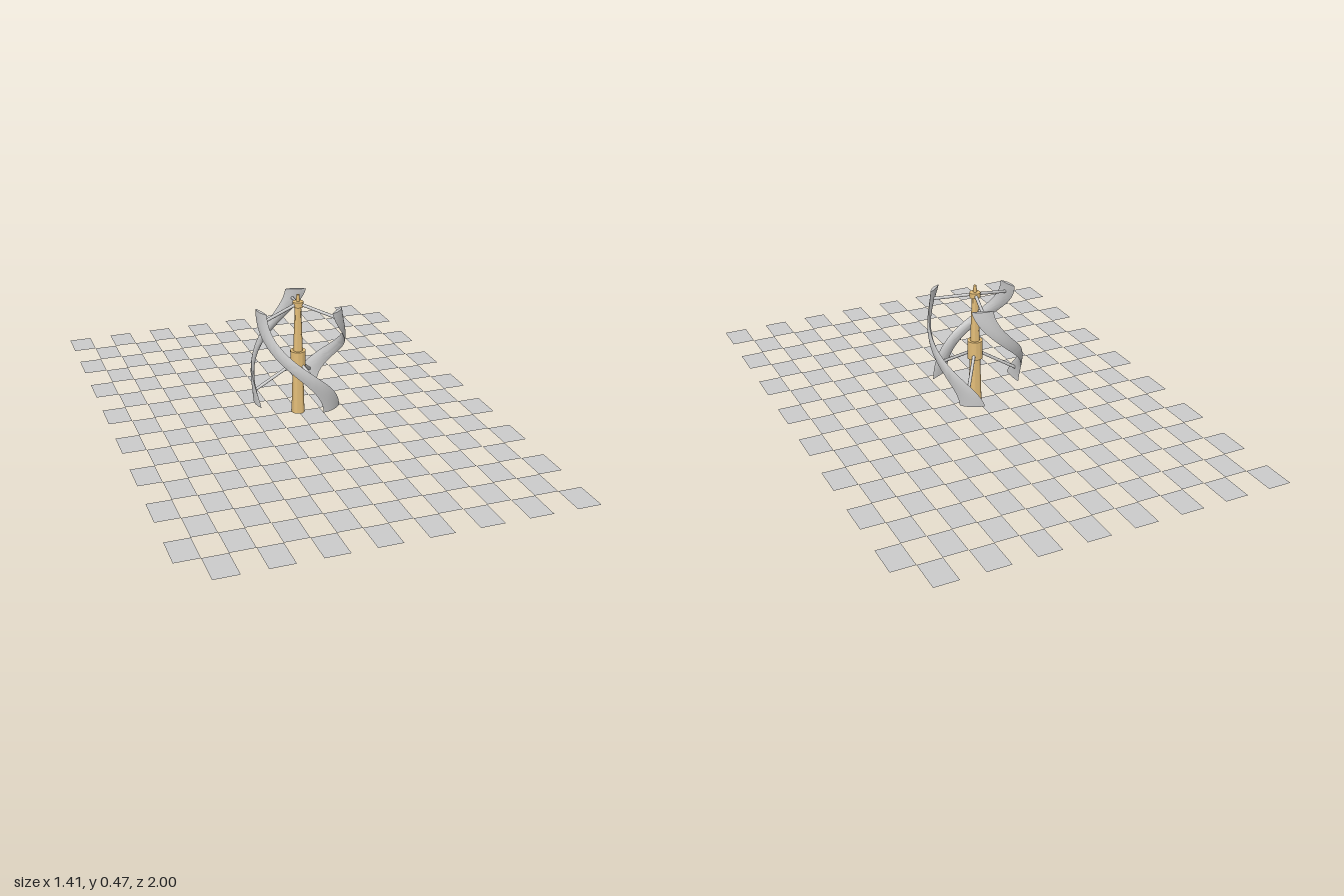
import * as THREE from 'three';
import { mergeGeometries, toCreasedNormals } from 'three/addons/utils/BufferGeometryUtils.js';

const rad = THREE.MathUtils.degToRad;
const Y0 = 0.06, Y1 = 0.44;

// Angle (from +z towards +x), radius and half span of a blade at t = 0..1 up its height
function bladeAt(t) {
  const s = 0.2 * t + 0.8 * t * t * (3 - 2 * t);
  const mid = Math.sin(Math.PI * t);
  return {
    angle: rad(31 - 107 * s),
    radius: 0.173 - 0.004 * t + 0.009 * mid,
    half: rad(16 - 2 * t - 4 * mid),
    y: Y0 + (Y1 - Y0) * t,
  };
}

const polar = (r, a, y) => new THREE.Vector3(r * Math.sin(a), y, r * Math.cos(a));

// Helical blade: lens-shaped horizontal sections joined up the height, with closed ends
function bladeGeometry() {
  const levels = 40, k = 8, n = 2 * k, pos = [], index = [];
  for (let i = 0; i <= levels; i++) {
    const { angle, radius, half, y } = bladeAt(i / levels);
    for (let j = 0; j < n; j++) {
      const outer = j <= k;
      const u = outer ? -1 + (2 * j) / k : 1 - (2 * (j - k)) / k;
      const r = radius - (outer ? 0 : 0.013 * (1 - u * u)) - 0.004 * u * u;
      pos.push(...polar(r, angle + u * half, y).toArray());
    }
  }
  for (let i = 0; i < levels; i++) {
    for (let j = 0; j < n; j++) {
      const a = i * n + j, b = i * n + ((j + 1) % n);
      index.push(a, b, b + n, a, b + n, a + n);
    }
  }
  const top = levels * n;
  for (let j = 1; j < n - 1; j++) {
    index.push(0, j + 1, j);
    index.push(top, top + j, top + j + 1);
  }
  const g = new THREE.BufferGeometry();
  g.setAttribute('position', new THREE.Float32BufferAttribute(pos, 3));
  g.setIndex(index);
  return toCreasedNormals(g, rad(40));
}

// Round bar between two points
function bar(name, from, to, r, material) {
  const dir = to.clone().sub(from);
  const mesh = new THREE.Mesh(new THREE.CylinderGeometry(r, r, dir.length(), 10), material);
  mesh.position.copy(from).add(to).multiplyScalar(0.5);
  mesh.quaternion.setFromUnitVectors(new THREE.Vector3(0, 1, 0), dir.normalize());
  mesh.name = name;
  return mesh;
}

export function createModel() {
  const group = new THREE.Group();
  group.name = 'windTurbine';
  const grey = new THREE.MeshStandardMaterial({ color: 0xcccccc });
  const tan = new THREE.MeshStandardMaterial({ color: 0xe3bd78 });
  const thin = new THREE.MeshStandardMaterial({ color: 0xcccccc, side: THREE.DoubleSide });

  // Chequered ground of alternate tiles
  const count = 16, w = Math.SQRT2 / count, d = 2 / count, tiles = [];
  for (let row = 0; row < count; row++) {
    for (let col = row % 2; col < count; col += 2) {
      tiles.push(new THREE.PlaneGeometry(w, d).rotateX(-Math.PI / 2)
        .translate((col + 0.5 - count / 2) * w, 0, (row + 0.5 - count / 2) * d));
    }
  }
  const floor = new THREE.Mesh(mergeGeometries(tiles), thin);
  floor.name = 'chequeredFloor';
  group.add(floor);

  // Tapered mast with its collars and tip
  const profile = [
    [0, 0], [0.025, 0], [0.02, 0.18], [0.029, 0.18], [0.029, 0.253], [0.018, 0.253],
    [0.012, 0.425], [0.02, 0.428], [0.02, 0.448], [0.007, 0.45], [0.006, 0.475], [0, 0.475],
  ].map(([r, y]) => new THREE.Vector2(r, y));
  const mast = new THREE.Mesh(toCreasedNormals(new THREE.LatheGeometry(profile, 32), rad(35)), tan);
  mast.name = 'mast';
  group.add(mast);

  // Three blades, each held by an upper and a lower strut
  const blade = bladeGeometry();
  for (let i = 0; i < 3; i++) {
    const arm = new THREE.Group();
    arm.name = 'bladeAssembly';
    arm.rotation.y = (i * 2 * Math.PI) / 3;
    const mesh = new THREE.Mesh(blade, grey);
    mesh.name = 'blade';
    arm.add(mesh);
    for (const [name, t, hubY] of [['upperStrut', 0.9, 0.438], ['lowerStrut', 0.12, 0.205]]) {
      const { angle, radius, y } = bladeAt(t);
      arm.add(bar(name, polar(0.012, angle, hubY), polar(radius - 0.006, angle, y), 0.006, grey));
    }
    group.add(arm);
  }
  return group;
}
